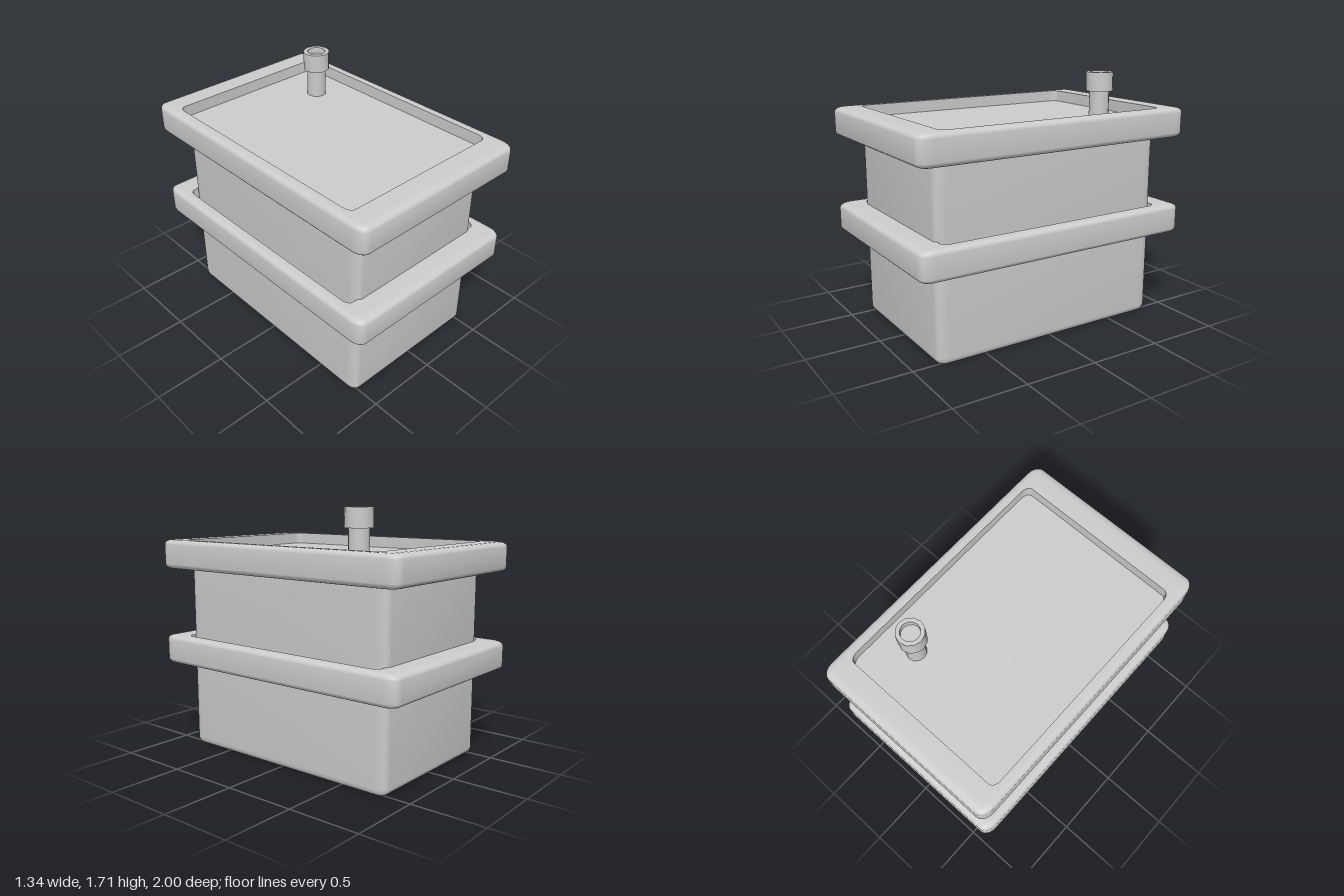
import * as THREE from 'three';
import { toCreasedNormals } from 'three/addons/utils/BufferGeometryUtils.js';

const material = new THREE.MeshStandardMaterial({ color: 0xcccccc });
const STRETCH = 1.5; // roundings are longer along z than along x
const CORNER_STEPS = 6;

// Rounded rectangle outline in the xz plane: half sizes hx, hz and corner radius r.
function outline([hx, hz, r, y]) {
  const points = [];
  const signs = [[1, 1], [-1, 1], [-1, -1], [1, -1]];
  signs.forEach(([sx, sz], corner) => {
    for (let i = 0; i <= CORNER_STEPS; i++) {
      const a = (corner + i / CORNER_STEPS) * Math.PI / 2;
      points.push([
        sx * (hx - r) + r * Math.cos(a),
        y,
        sz * (hz - r * STRETCH) + r * STRETCH * Math.sin(a),
      ]);
    }
  });
  return points;
}

// Skin through a list of sections [hx, hz, r, y].
function loft(sections) {
  const n = 4 * (CORNER_STEPS + 1);
  const positions = sections.flatMap((s) => outline(s).flat());
  const index = [];
  for (let i = 0; i < sections.length - 1; i++) {
    for (let j = 0; j < n; j++) {
      const a = i * n + j, b = i * n + (j + 1) % n;
      index.push(a, a + n, b, b, a + n, b + n);
    }
  }
  const geometry = new THREE.BufferGeometry();
  geometry.setAttribute('position', new THREE.Float32BufferAttribute(positions, 3));
  geometry.setIndex(index);
  return toCreasedNormals(geometry, 0.6);
}

// Sections of a rounded edge of width f and height h; dir = -1 lower edge, +1 upper edge.
function fillet(hx, hz, r, f, h, y, dir, steps = 5) {
  const sections = [];
  for (let i = 0; i <= steps; i++) {
    const t = i / steps * Math.PI / 2;
    const a = dir < 0 ? Math.PI / 2 - t : t;
    const inset = f * (1 - Math.cos(a));
    sections.push([hx - inset, hz - inset * STRETCH, r - inset, y - dir * h * (1 - Math.sin(a))]);
  }
  return sections;
}

function part(name, geometry) {
  const mesh = new THREE.Mesh(geometry, material);
  mesh.name = name;
  return mesh;
}

// One bin, open below, with a thick raised rim around a sunken top.
function createBin(name) {
  const bin = new THREE.Group();
  bin.name = name;
  bin.add(part('body', loft([
    [0, 0, 0, 0.55],
    [0.512, 0.798, 0.035, 0.55],
    [0.512, 0.798, 0.035, 0],
    ...fillet(0.542, 0.843, 0.05, 0.03, 0.045, 0, -1),
    [0.542, 0.843, 0.05, 0.65],
  ])));
  bin.add(part('rim', loft([
    [0.52, 0.81, 0.04, 0.597],
    ...fillet(0.67, 1, 0.06, 0.04, 0.032, 0.597, -1),
    ...fillet(0.67, 1, 0.06, 0.04, 0.032, 0.797, 1),
    [0.595, 0.825, 0.04, 0.797],
    [0.595, 0.825, 0.04, 0.717],
    [0, 0, 0, 0.717],
  ])));
  return bin;
}

export function createModel() {
  const model = new THREE.Group();
  model.name = 'stackedBins';

  // Two equal bins, the upper one standing in the lower one
  ['lowerBin', 'upperBin'].forEach((name, i) => {
    const bin = createBin(name);
    bin.position.y = i * 0.674;
    model.add(bin);
  });

  // Pipe with a wider hollow cap
  const pipe = new THREE.Group();
  pipe.name = 'pipe';
  pipe.position.set(0.354, 0, -0.5);
  const stem = part('stem', new THREE.CylinderGeometry(0.067, 0.067, 0.22, 12, 1, true));
  stem.position.y = 1.485;
  const profile = [[0, 1.585], [0.091, 1.585], [0.091, 1.711], [0.063, 1.711], [0.063, 1.67], [0, 1.67]];
  const cap = new THREE.LatheGeometry(profile.map(([x, y]) => new THREE.Vector2(x, y)), 12);
  pipe.add(stem, part('pipeCap', toCreasedNormals(cap, 0.6)));
  model.add(pipe);

  return model;
}
